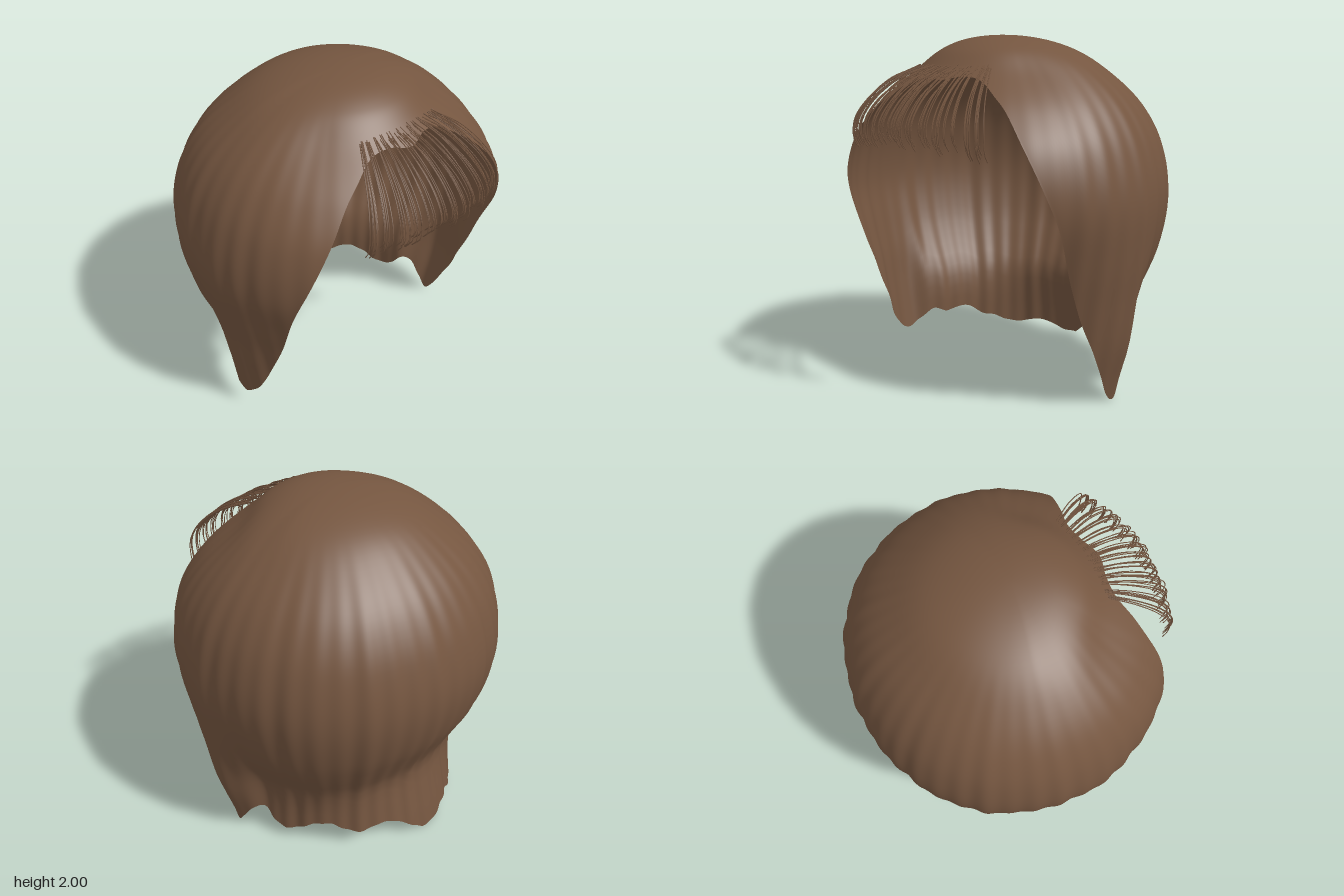
import * as THREE from 'three';

const rad = Math.PI / 180;
const spline = (keys, values) => {
  const s = new THREE.CubicInterpolant(keys, values, 1, new Float32Array(1));
  return (t) => s.evaluate(t)[0];
};

// Radius profiles by height, for four directions around the head
const heights = [2, 1.98, 1.92, 1.8, 1.6, 1.4, 1.1, 0.8, 0.6, 0.45, 0.3, 0.1, -0.05];
const drops = heights.map((y) => Math.sqrt(2 - y));
const front = spline(drops, [0, 0.2, 0.36, 0.515, 0.755, 0.89, 0.935, 0.855, 0.79, 0.745, 0.71, 0.7, 0.71]);
const side = spline(drops, [0, 0.2, 0.385, 0.585, 0.785, 0.89, 0.947, 0.915, 0.88, 0.86, 0.835, 0.79, 0.76]);
const nape = spline(drops, [0, 0.21, 0.4, 0.585, 0.785, 0.89, 0.94, 0.89, 0.81, 0.735, 0.705, 0.71, 0.72]);
const back = spline(drops, [0, 0.22, 0.41, 0.575, 0.757, 0.857, 0.907, 0.845, 0.75, 0.69, 0.715, 0.76, 0.785]);

// Lower border as [degrees from the front, height]: face opening, side locks and ragged hem
const hemRight = [[180, 0.01], [172, 0.01], [165, 0.05], [157, 0.065], [150, 0.045], [142, 0.06], [135, 0.1],
  [128, 0.12], [121, 0.18], [115, 0.19], [107, 0.17], [99, 0.2], [93, 0.14], [87, 0.1], [82, 0.13]];
const opening = [[76, 0.22], [69, 0.42], [61, 0.7], [55, 1], [50, 1.2], [43, 1.45], [38, 1.6], [32, 1.69], [26, 1.75], [14, 1.78]];
const hemLeft = [[82, 0.06], [87, 0], [91, 0.07], [96, 0.17], [100, 0.2], [106, 0.12], [112, 0.09], [118, 0.11],
  [126, 0.17], [135, 0.19], [142, 0.15], [150, 0.14], [157, 0.17], [165, 0.16], [172, 0.1], [180, 0.01]];
const border = [
  ...[...hemRight, ...opening].map(([a, y]) => [-a, y]),
  [0, 1.76],
  ...[...opening].reverse(), ...hemLeft,
];
const borderAt = spline(border.map((p) => p[0]), border.map((p) => p[1]));

function radiusAt(deg, w) {
  const a = Math.abs(deg), t = deg * rad;
  const mix = THREE.MathUtils.lerp, ease = THREE.MathUtils.smoothstep;
  let r = mix(front(w), side(w), ease(a, 46, 86));
  r = mix(r, nape(w), ease(a, 88, 104));
  r = mix(r, back(w), ease(a, 122, 175));
  // The left lock hangs a little wider than the right
  r += 0.016 * Math.sin(t) * ease(w, 0.95, 1.2) * (1 - ease(w, 1.28, 1.4)) * ease(a, 55, 80) * (1 - ease(a, 92, 104));
  // Combed waves, strongest on the sides and back
  const wave = 0.004 * Math.sin(42 * t) + 0.003 * Math.sin(17 * t + 1) + 0.002 * Math.sin(29 * t + 2);
  return r + wave * ease(w, 0.25, 0.95) * ease(a, 25, 80);
}

// One closed fan of hair columns running from the crown to the border
function hairShell() {
  const cols = 400, rows = 48, pos = [], index = [];
  for (let j = 0; j <= rows; j++) {
    for (let i = 0; i < cols; i++) {
      const deg = -180 + (360 * i) / cols;
      const w = (j / rows) * Math.sqrt(2 - Math.max(0, borderAt(deg)));
      const r = radiusAt(deg, w);
      // The crown leans slightly forward
      const lean = 0.035 * (1 - THREE.MathUtils.smoothstep(w, 0.05, 0.6));
      pos.push(r * Math.sin(deg * rad), 2 - w * w, r * Math.cos(deg * rad) + lean);
      if (j < rows) {
        const k = (i + 1) % cols, a = j * cols + i, d = j * cols + k;
        index.push(a, a + cols, d + cols);
        if (j > 0) index.push(a, d + cols, d);
      }
    }
  }
  const g = new THREE.BufferGeometry();
  g.setAttribute('position', new THREE.Float32BufferAttribute(pos, 3));
  g.setIndex(index);
  g.computeVertexNormals();
  for (let i = 0; i < cols; i++) g.attributes.normal.setXYZ(i, 0, 1, 0);
  return g;
}

export function createModel() {
  const model = new THREE.Group();
  const brown = new THREE.MeshStandardMaterial({ color: 0x755640, side: THREE.DoubleSide });
  brown.name = 'brown hair';

  const shell = new THREE.Mesh(hairShell(), brown);
  shell.name = 'hairShell';
  model.add(shell);

  // Wispy fringe: clumps of fine strands arching forward from the hairline
  const fringe = new THREE.Group();
  fringe.name = 'fringe';
  let seed = 7;
  const random = () => (seed = (seed * 16807) % 2147483647) / 2147483647;
  const clumps = 13, strands = 6;
  for (let c = 0; c < clumps; c++) {
    const s = -1 + (2 * c) / (clumps - 1);
    const clump = new THREE.Group();
    clump.name = 'fringeClump';
    const length = random() * 0.03;
    for (let k = 0; k < strands; k++) {
      const e = s * 0.96 + (random() - 0.5) * 0.1;
      const reach = 0.91 - 0.13 * e * e - random() * 0.03;
      const tip = 1.49 - 0.06 * e * e - length - random() * 0.05;
      const x0 = 0.26 * e, x1 = 0.47 * e, z0 = 0.48 - 0.02 * e * e;
      const at = (u, v, y) => new THREE.Vector3(
        THREE.MathUtils.lerp(x0, x1, u), y, THREE.MathUtils.lerp(z0, reach, v));
      const path = new THREE.CatmullRomCurve3([
        at(0, 0, 1.81 + random() * 0.03), at(0.4, 0.4, 1.755 + random() * 0.02), at(0.75, 0.78, 1.66),
        at(0.96, 0.98, 1.55), at(1, 0.99, tip + 0.04), at(1, 0.92, tip),
      ]);
      const strand = new THREE.Mesh(new THREE.TubeGeometry(path, 18, 0.003, 4), brown);
      strand.name = 'fringeStrand';
      clump.add(strand);
    }
    fringe.add(clump);
  }
  model.add(fringe);
  return model;
}
